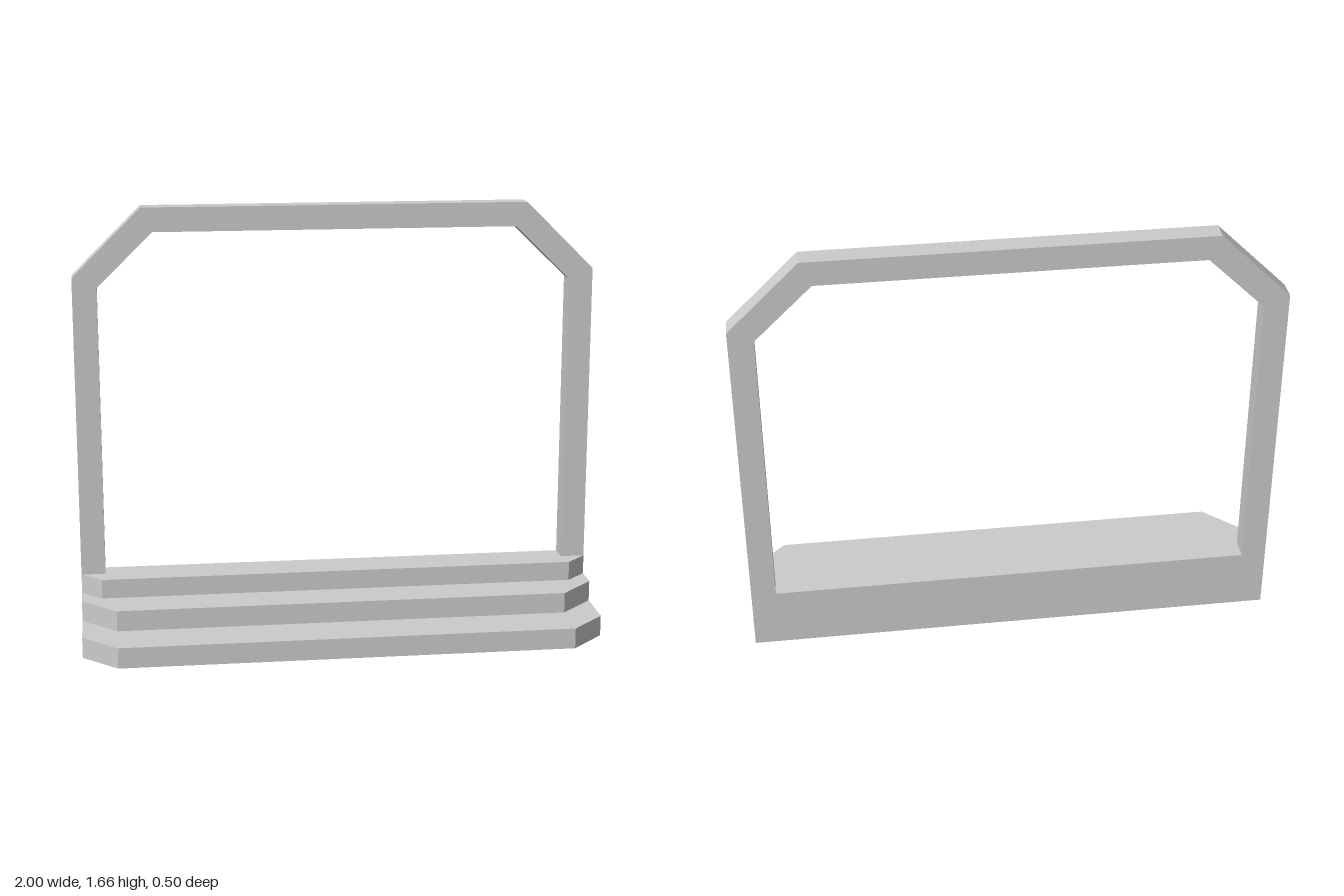
import * as THREE from 'three';

const BACK = -0.25, WALL = -0.17, SILL = 0.235;

function polygon(points, Type = THREE.Shape) {
  return new Type(points.map(([x, y]) => new THREE.Vector2(x, y)));
}

// Outline symmetric in x: straight sides, with both upper corners cut off
function clipped(halfWidth, bottom, shoulder, top, topHalf) {
  return [[-halfWidth, bottom], [halfWidth, bottom], [halfWidth, shoulder],
    [topHalf, top], [-topHalf, top], [-halfWidth, shoulder]];
}

export function createModel() {
  const group = new THREE.Group();
  const material = new THREE.MeshStandardMaterial({ color: 0xcccccc, flatShading: true });
  const add = (name, geometry) => {
    const mesh = new THREE.Mesh(geometry, material);
    mesh.name = name;
    group.add(mesh);
  };

  // Upright frame with clipped corners and a solid sill
  const outline = polygon(clipped(1, 0, 1.4, 1.66, 0.737));
  outline.holes.push(polygon(clipped(0.907, SILL, 1.36, 1.567, 0.695), THREE.Path));
  const frame = new THREE.ExtrudeGeometry(outline, { depth: WALL - BACK, bevelEnabled: false });
  frame.translate(0, 0, BACK);
  add('frame', frame);

  // Steps rising to the sill, each with clipped front corners
  const steps = [
    { name: 'lowerStep', y0: 0, y1: 0.08, side: 0.12, front: 0.25, half: 0.868 },
    { name: 'middleStep', y0: 0.08, y1: 0.16, side: -0.067, front: 0.065, half: 0.868 },
    { name: 'upperStep', y0: 0.16, y1: SILL, side: -0.169, front: -0.093, half: 0.922 },
  ];
  for (const { name, y0, y1, side, front, half } of steps) {
    const plan = polygon(clipped(1, WALL, side, front, half));
    const step = new THREE.ExtrudeGeometry(plan, { depth: y1 - y0, bevelEnabled: false });
    step.rotateX(Math.PI / 2).translate(0, y1, 0);
    add(name, step);
  }
  return group;
}
